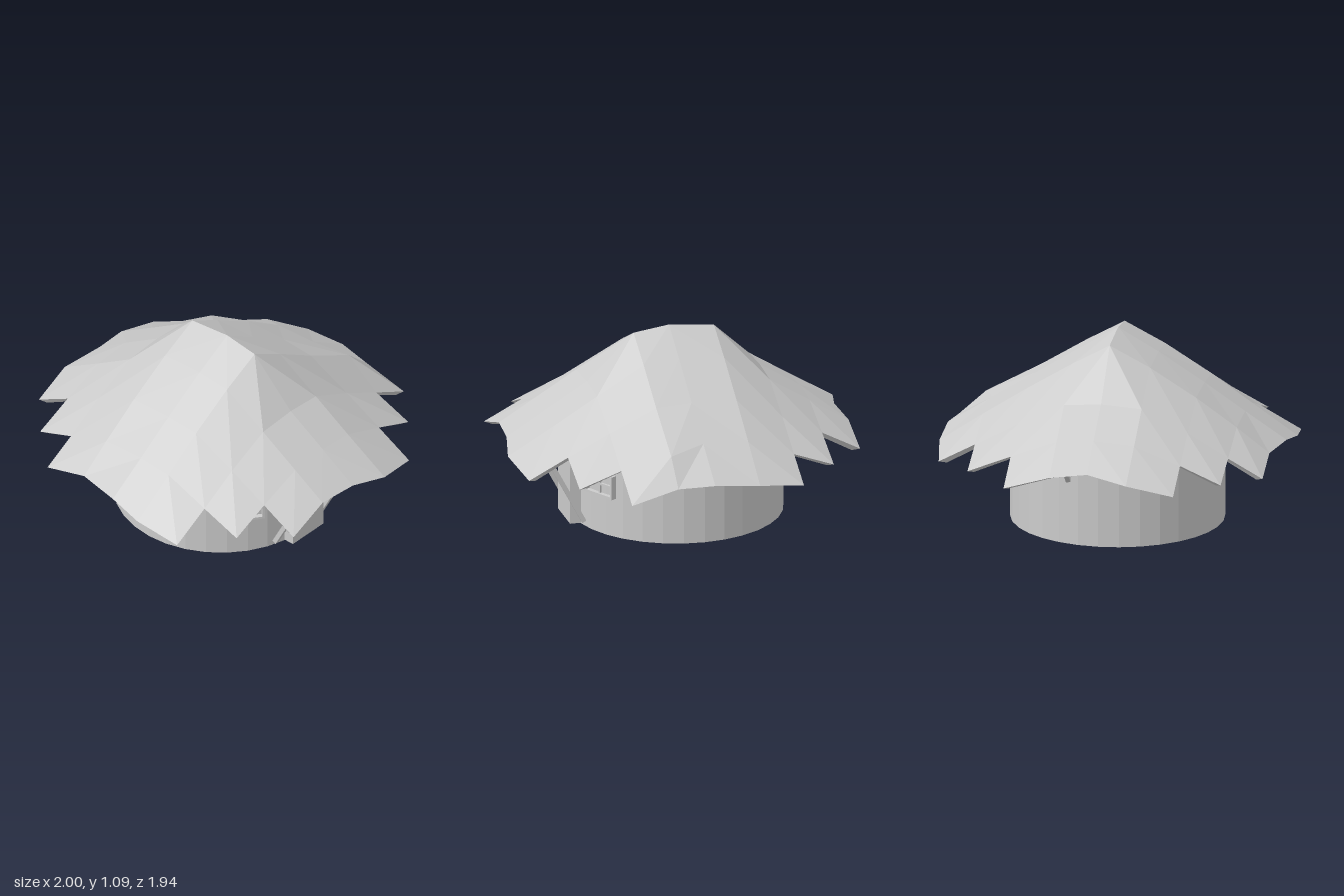
import * as THREE from 'three';

const mat = new THREE.MeshStandardMaterial({ color: 0xcccccc, flatShading: true });
const CX = -0.032, CZ = -0.01, R = 0.6; // wall centre and radius

function add(parent, name, geometry) {
  const mesh = new THREE.Mesh(geometry, mat);
  mesh.name = name;
  parent.add(mesh);
  return mesh;
}

// Square timber between two points, aimed before it joins its group
function beam(parent, name, from, to, size = 0.026) {
  const a = new THREE.Vector3(...from), b = new THREE.Vector3(...to);
  const mesh = new THREE.Mesh(new THREE.BoxGeometry(size, size, a.distanceTo(b)), mat);
  mesh.name = name;
  mesh.position.copy(a).add(b).multiplyScalar(0.5);
  mesh.lookAt(b);
  parent.add(mesh);
}

// Sagging roof: a stepped 8 x 8 grid with an underside drawn in from the eaves
function roofGeometry() {
  const N = 9;
  const X = [-0.96, -0.745, -0.515, -0.25, 0.01, 0.215, 0.485, 0.725, 0.95];
  const Z = [-0.96, -0.73, -0.485, -0.225, -0.015, 0.215, 0.475, 0.705, 0.93];
  // Uneven eave reach on each side, middle five points
  const back = [-0.935, -0.98, -0.98, -0.95, -0.96], front = [0.90, 0.89, 0.94, 0.965, 0.935];
  const right = [-0.965, -0.97, -0.945, -1, -0.96], left = [0.95, 1, 0.95, 0.93, 0.945];
  // Heights by grid steps from the middle: rows along z, columns along x
  const H = [
    [1.085, 1.057, 0.795, 0.65, 0.51],
    [0.955, 0.94, 0.78, 0.635, 0.50],
    [0.79, 0.78, 0.655, 0.535, 0.42],
    [0.635, 0.62, 0.52, 0.435, 0.38],
    [0.485, 0.46, 0.397, 0.38, 0.35]];
  const mid = (k) => k >= 2 && k <= 6;

  const pos = [], under = [];
  for (let j = 0; j < N; j++) for (let i = 0; i < N; i++) {
    let x = X[i], z = Z[j];
    let y = H[Math.abs(j - 4)][Math.abs(i - 4)];
    if (mid(i) && j === 0) z = back[i - 2];
    if (mid(i) && j === 8) z = front[i - 2];
    if (mid(j) && i === 0) x = right[j - 2];
    if (mid(j) && i === 8) x = left[j - 2];
    // Points that reach further out hang lower
    y -= 0.5 * (Math.abs(x) - Math.abs(X[i]) + Math.abs(z) - Math.abs(Z[j]));
    // One lump in the thatch at the back
    if (i === 5 && j === 1) { z = -0.8; y = 0.605; }
    pos.push(x, y, z);
    under.push(x * 0.955, y - 0.012, z * 0.955);
  }

  // Top faces, leaving stepped corners out
  const tris = [];
  for (let j = 0; j < 8; j++) for (let i = 0; i < 8; i++) {
    if (Math.min(i, 7 - i) + Math.min(j, 7 - j) < 2) continue;
    const a = j * N + i, b = a + 1, d = a + N, c = d + 1;
    if ((i < 4) === (j < 4)) tris.push([a, d, c], [a, c, b]);
    else tris.push([a, d, b], [b, d, c]);
  }

  // Underside and rim
  const M = N * N, edges = new Set(), index = [];
  for (const t of tris) t.forEach((p, k) => edges.add(p + '_' + t[(k + 1) % 3]));
  for (const [a, b, c] of tris) index.push(a, b, c, M + a, M + c, M + b);
  for (const e of edges) {
    const [p, q] = e.split('_').map(Number);
    if (!edges.has(q + '_' + p)) index.push(q, p, M + p, q, M + p, M + q);
  }
  const g = new THREE.BufferGeometry();
  g.setAttribute('position', new THREE.Float32BufferAttribute([...pos, ...under], 3));
  g.setIndex(index);
  const flat = g.toNonIndexed();
  flat.computeVertexNormals();
  return flat;
}

// Arched slab, drawn in the xy plane and turned to face +x
function doorGeometry() {
  const w = 0.127, h = 0.435, r = 0.1, s = new THREE.Shape();
  s.moveTo(-w, 0.004);
  s.lineTo(w, 0.004);
  s.lineTo(w, h - r);
  s.quadraticCurveTo(w, h, w - r, h);
  s.lineTo(-w + r, h);
  s.quadraticCurveTo(-w, h, -w, h - r);
  const g = new THREE.ExtrudeGeometry(s, { depth: 0.15, bevelEnabled: false, curveSegments: 6 });
  return g.rotateY(Math.PI / 2);
}

// Framed window with four panes, facing +z before it is turned
function makeWindow() {
  const g = new THREE.Group();
  g.name = 'window';
  const w = 0.215, h = 0.135, t = 0.014, d = 0.075;
  for (const s of [-1, 1]) {
    add(g, 'windowStile', new THREE.BoxGeometry(t, h, d)).position.x = s * (w - t) / 2;
    add(g, 'windowRail', new THREE.BoxGeometry(w, t, d)).position.y = s * (h - t) / 2;
  }
  add(g, 'mullion', new THREE.BoxGeometry(0.012, h, d * 0.7));
  add(g, 'glazingBar', new THREE.BoxGeometry(w, 0.012, d * 0.7));
  add(g, 'pane', new THREE.BoxGeometry(w - t, h - t, 0.02));
  return g;
}

export function createModel() {
  const hut = new THREE.Group();
  hut.name = 'roundHut';

  const wall = add(hut, 'wall', new THREE.CylinderGeometry(R, R, 0.525, 32));
  wall.position.set(CX, 0.2625, CZ);

  add(hut, 'roof', roofGeometry());

  // Door on the left side, with a window either side of it
  add(hut, 'door', doorGeometry()).position.set(0.467, 0, -0.013);
  for (const deg of [35, -30]) {
    const a = THREE.MathUtils.degToRad(deg);
    const win = makeWindow();
    win.position.set(CX + Math.cos(a) * 0.585, 0.295, CZ + Math.sin(a) * 0.585);
    win.rotation.y = Math.PI / 2 - a;
    hut.add(win);
  }

  // Roof braces: a pair and a purlin on each side, long posts by the door
  for (let k = 0; k < 4; k++) {
    const side = new THREE.Group();
    side.name = k === 0 ? 'doorPosts' : 'roofBraces';
    side.rotation.y = k * Math.PI / 2;
    const off = [0, 0.01, 0.03, -0.01][k];
    for (const z of [-0.185, 0.185]) {
      if (k === 0) beam(side, 'post', [0.55, 0.03, z], [0.82, 0.54, z]);
      else beam(side, 'brace', [0.55 + off, 0.355, z], [0.75 + off, 0.53, z]);
    }
    const px = k === 0 ? 0.81 : 0.745 + off, py = k === 0 ? 0.525 : 0.53;
    beam(side, 'purlin', [px, py, -0.3], [px, py, 0.3], 0.022);
    hut.add(side);
  }
  return hut;
}
